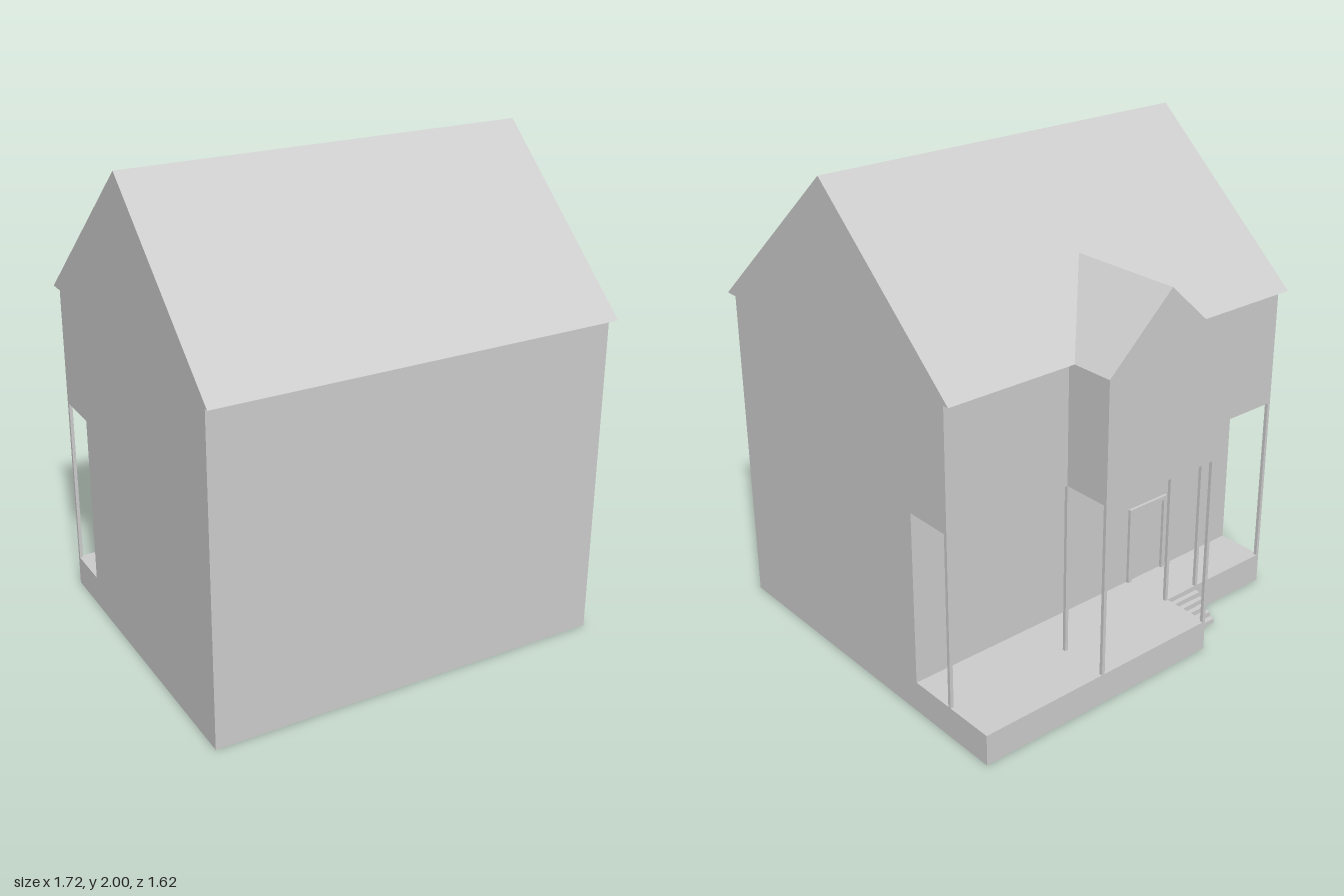
import * as THREE from 'three';

const material = new THREE.MeshStandardMaterial({ color: 0xcccccc, flatShading: true });

function add(group, name, geometry) {
  const mesh = new THREE.Mesh(geometry, material);
  mesh.name = name;
  group.add(mesh);
  return mesh;
}

// Box given by its extents along each axis
function box(group, name, [x0, x1], [y0, y1], [z0, z1]) {
  const mesh = add(group, name, new THREE.BoxGeometry(x1 - x0, y1 - y0, z1 - z0));
  mesh.position.set((x0 + x1) / 2, (y0 + y1) / 2, (z0 + z1) / 2);
  return mesh;
}

function extrude(points, depth) {
  const shape = new THREE.Shape(points.map(([u, v]) => new THREE.Vector2(u, v)));
  return new THREE.ExtrudeGeometry(shape, { depth, bevelEnabled: false });
}

// Side profile of [z, y] points swept from x0 to x1
function sweepX(group, name, profile, x0, x1) {
  const geometry = extrude(profile.map(([z, y]) => [-z, y]), x1 - x0);
  geometry.rotateY(Math.PI / 2).translate(x0, 0, 0);
  return add(group, name, geometry);
}

export function createModel() {
  const house = new THREE.Group();
  house.name = 'house';

  const floor = 0.13, ceiling = 0.86, eaves = 1.365;
  const back = -0.59, bayBack = -0.8, porchWall = -0.38;

  // Main body with the open porch recess running through at the back
  sweepX(house, 'mainBody', [
    [0.77, 0], [back, 0], [back, floor], [porchWall, floor],
    [porchWall, ceiling], [back, ceiling], [back, eaves], [0.77, eaves],
  ], -0.85, 0.85);

  // Main gable roof with slight overhang
  sweepX(house, 'mainRoof', [[0.81, eaves], [-0.63, eaves], [0.09, 2]], -0.86, 0.86);

  // Porch deck in front of the recess, and the overhanging upper bay
  box(house, 'porchDeck', [-0.285, 0.85], [0, floor], [bayBack, back]);
  box(house, 'upperBay', [-0.285, 0.285], [ceiling, eaves], [bayBack, back]);

  // Cross gable over the bay, running into the main roof
  const gable = extrude([[-0.295, eaves], [0.295, eaves], [0, 1.636]], 0.51);
  add(house, 'bayRoof', gable.translate(0, 0, -0.81));

  // Slim porch posts
  const posts = new THREE.Group();
  posts.name = 'porchPosts';
  house.add(posts);
  const inner = back + 0.007, outer = bayBack + 0.007;
  for (const [x, z] of [
    [-0.843, inner], [-0.455, inner], [-0.278, inner], [0.278, inner], [0.843, inner],
    [-0.278, outer], [0.278, outer],
  ]) {
    box(posts, 'porchPost', [x - 0.007, x + 0.007], [floor, ceiling], [z - 0.007, z + 0.007]);
  }

  // Steps up to the porch
  const count = 5, run = 0.022, rise = floor / (count + 1);
  const profile = [[back, 0], [back - count * run, 0]];
  for (let i = 0; i < count; i++) {
    const z = back - (count - i) * run, y = (i + 1) * rise;
    profile.push([z, y], [z + run, y]);
  }
  sweepX(house, 'porchSteps', profile, -0.455, -0.285);

  // Door frame on the porch wall
  const frame = new THREE.Group();
  frame.name = 'doorFrame';
  house.add(frame);
  const depth = [porchWall - 0.013, porchWall];
  box(frame, 'rightJamb', [-0.465, -0.447], [floor, 0.46], depth);
  box(frame, 'leftJamb', [-0.268, -0.25], [floor, 0.46], depth);
  box(frame, 'lintel', [-0.465, -0.25], [0.46, 0.478], depth);

  return house;
}
